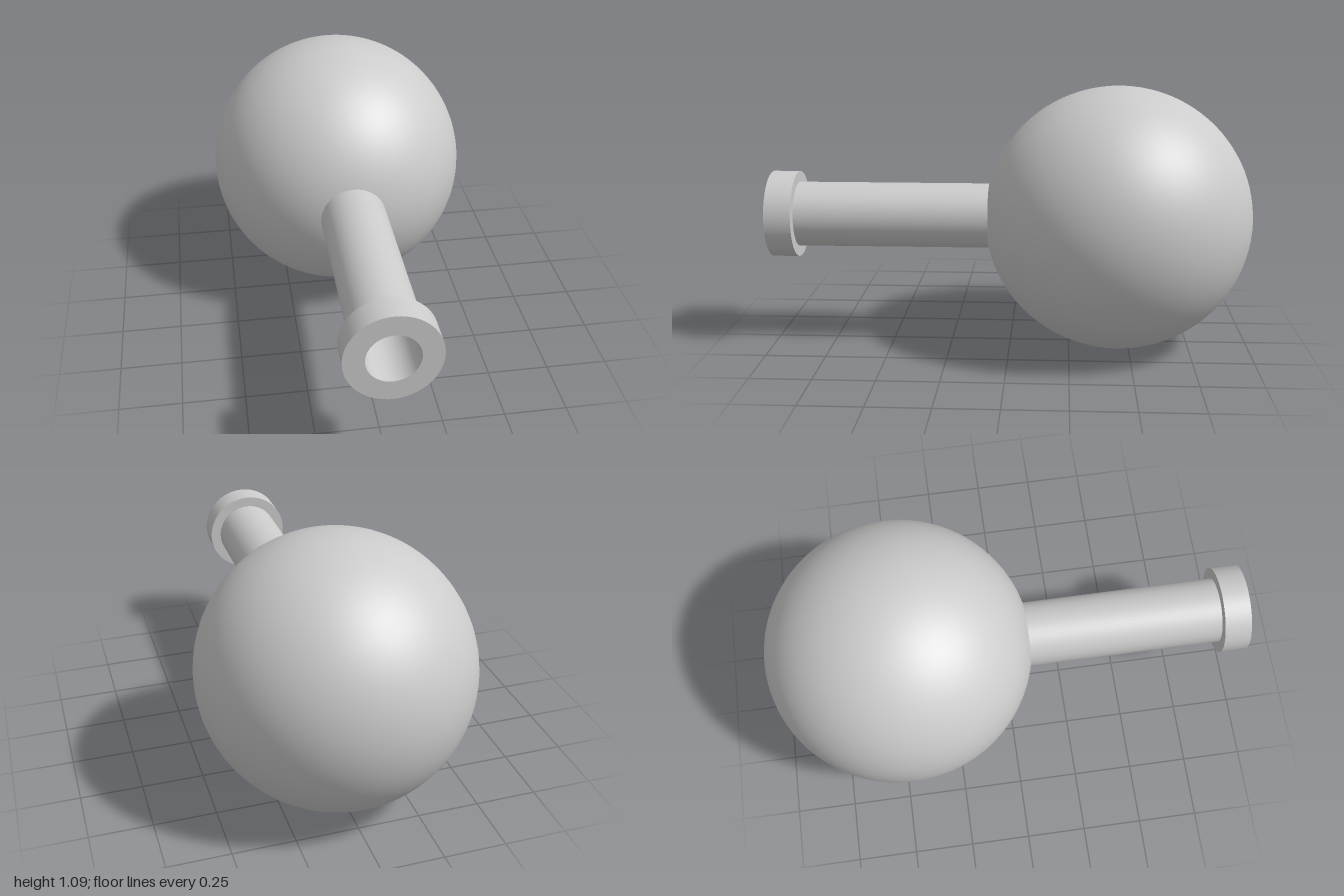
import * as THREE from 'three';
import { mergeGeometries } from 'three/addons/utils/BufferGeometryUtils.js';

const CENTER_Y = 0.545;

// Turned part along z; each profile segment is lathed separately so corners stay sharp.
// Profile points are [radius, z], running back to front along the outside.
function turned(name, profile, color) {
  const pieces = [];
  for (let i = 0; i < profile.length - 1; i++) {
    const ends = [profile[i], profile[i + 1]].map(([r, z]) => new THREE.Vector2(r, z));
    pieces.push(new THREE.LatheGeometry(ends, 64));
  }
  const geometry = mergeGeometries(pieces);
  geometry.rotateX(Math.PI / 2);
  const mesh = new THREE.Mesh(geometry, new THREE.MeshStandardMaterial({ color }));
  mesh.name = name;
  mesh.position.y = CENTER_Y;
  return mesh;
}

export function createModel() {
  const model = new THREE.Group();
  model.name = 'ballWithBarrel';

  // Large round body
  const ball = new THREE.Mesh(
    new THREE.SphereGeometry(0.545, 64, 48),
    new THREE.MeshStandardMaterial({ color: 0xcccccc })
  );
  ball.name = 'ball';
  ball.scale.z = 0.553 / 0.545;
  ball.position.set(0, CENTER_Y, -0.447);
  model.add(ball);

  // Hollow barrel with a flanged muzzle
  model.add(turned('barrel', [
    [0.135, 0.05], [0.135, 0.89], [0.18, 0.89], [0.18, 1], [0.1, 1], [0.1, 0.1],
  ], 0xcccccc));

  // Red ring and dark core deep inside the bore
  model.add(turned('boreRing', [[0.1, 0.14], [0.08, 0.14], [0.08, 0.12]], 0xd65a5a));
  model.add(turned('boreCore', [[0.08, 0.12], [0, 0.12]], 0x853838));

  return model;
}
